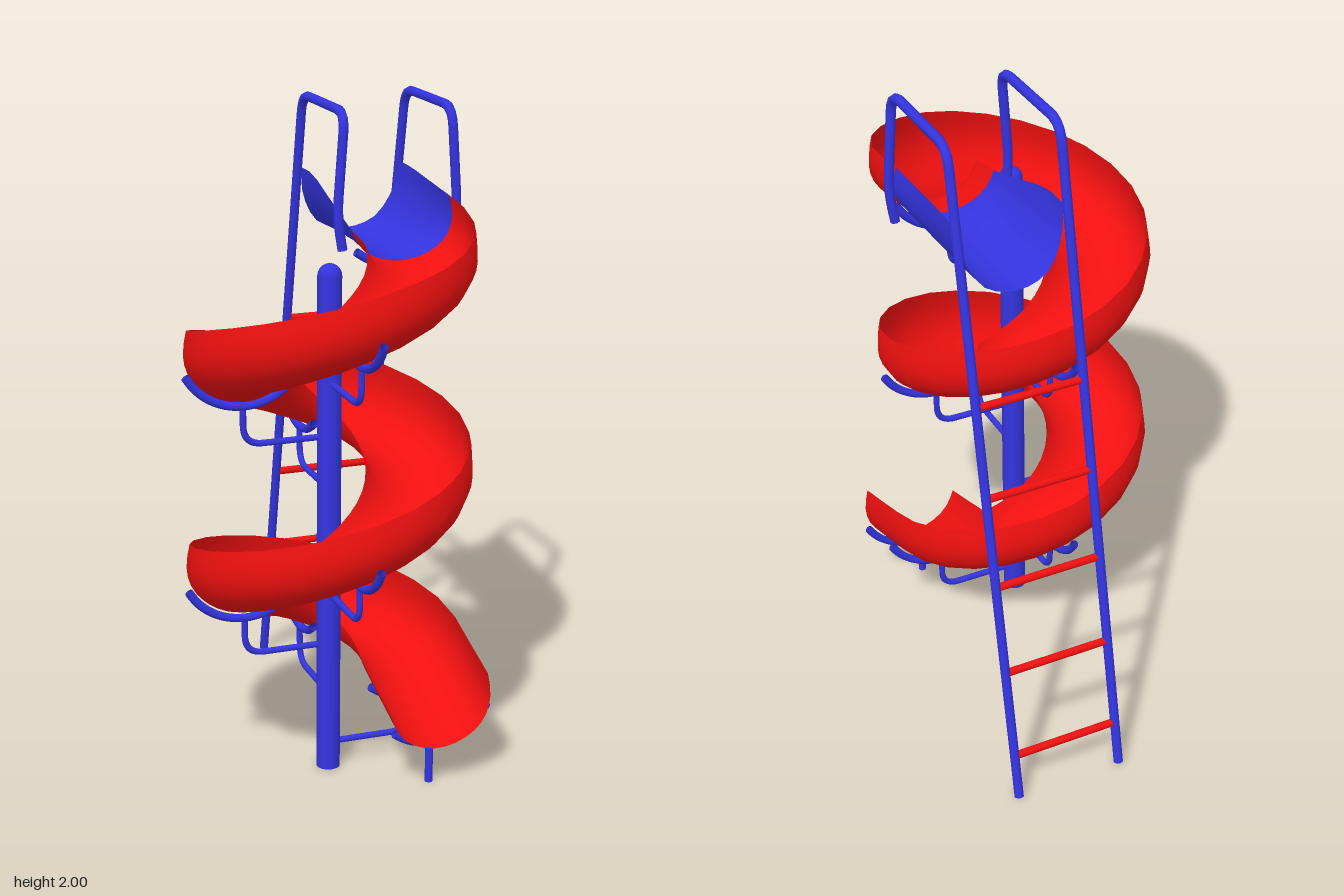
import * as THREE from 'three';

const RED = new THREE.MeshStandardMaterial({ color: 0xf01010, side: THREE.DoubleSide });
const BLUE = new THREE.MeshStandardMaterial({ color: 0x3434e0, side: THREE.DoubleSide });
const V = (x, y, z) => new THREE.Vector3(x, y, z);

const AX = -0.02, AZ = 0.255;          // pole axis
const TOP = 1.525, PITCH = 0.656;      // chute floor height at the start, drop per turn
const SIDES = 24, TURNS = 2;

function add(group, name, geometry, material) {
  const mesh = new THREE.Mesh(geometry, material);
  mesh.name = name;
  group.add(mesh);
  return mesh;
}

// Tube along a polyline whose corners are rounded
function pipe(points, radius, bend = 0.05, segments = 48) {
  const path = new THREE.CurvePath();
  let from = points[0];
  for (let i = 1; i < points.length - 1; i++) {
    const p = points[i];
    const a = p.clone().add(points[i - 1].clone().sub(p).setLength(bend));
    const b = p.clone().add(points[i + 1].clone().sub(p).setLength(bend));
    path.add(new THREE.LineCurve3(from, a));
    path.add(new THREE.QuadraticBezierCurve3(a, p, b));
    from = b;
  }
  path.add(new THREE.LineCurve3(from, points[points.length - 1]));
  return new THREE.TubeGeometry(path, segments, radius, 8);
}

// Cross-sections as (distance from axis, height above floor)
function profile(pairs) {
  return new THREE.SplineCurve(pairs.map(p => new THREE.Vector2(...p))).getPoints(16);
}
const chuteProfile = profile([[0.108, 0.12], [0.125, 0.075], [0.16, 0.034], [0.21, 0.008], [0.262, 0],
  [0.315, 0.008], [0.365, 0.032], [0.4, 0.066], [0.42, 0.11], [0.425, 0.16], [0.415, 0.22]]);
const deckProfile = profile([[0.105, 0.21], [0.11, 0.15], [0.13, 0.09], [0.165, 0.035], [0.215, 0.008],
  [0.268, 0], [0.32, 0.008], [0.37, 0.035], [0.405, 0.09], [0.425, 0.15], [0.43, 0.21]]);

// Point of a station: u outward, h upward
function place(s, u, h) {
  return V(AX + Math.cos(s.a) * u, s.y + h, s.z + Math.sin(s.a) * u);
}
const turn = a => ({ a, y: TOP - PITCH * a / (2 * Math.PI), z: AZ });

// Skin through a row of cross-sections
function loft(rows) {
  const n = rows[0].length, index = [];
  for (let i = 0; i < rows.length - 1; i++)
    for (let j = 0; j < n - 1; j++) {
      const a = i * n + j, b = a + n;
      index.push(a, b, a + 1, b, b + 1, a + 1);
    }
  const geometry = new THREE.BufferGeometry().setFromPoints(rows.flat());
  geometry.setIndex(index);
  geometry.computeVertexNormals();
  return geometry;
}

export function createModel() {
  const model = new THREE.Group();
  model.name = 'spiralSlide';

  // Spiral chute: short lead-in, two turns, straight exit
  const exit = { a: 0, y: 0.13, z: 0.51 };
  const stations = [{ a: 0, y: 1.545, z: 0.145 }];
  for (let i = 0; i <= SIDES * TURNS; i++) stations.push(turn(i / SIDES * 2 * Math.PI));
  stations.push({ a: 0, y: 0.17, z: 0.385 }, exit);
  const rows = stations.map((s, i) => {
    const k = Math.min(1, 0.84 + i * 0.025);
    return chuteProfile.map(p => place(s, p.x, p.y * k));
  });
  add(model, 'spiralChute', loft(rows), RED);

  // Platform trough, blending into the chute, rear edge leaning with the ladder
  const deckRows = [];
  for (let i = 0; i <= 6; i++) {
    const t = i / 6;
    deckRows.push(chuteProfile.map((p, j) => {
      const q = deckProfile[j];
      const u = THREE.MathUtils.lerp(p.x, q.x, t);
      const h = THREE.MathUtils.lerp(p.y * 0.84, q.y, Math.min(1, t * 1.3));
      return V(AX + u, 1.545 + h, 0.145 - 0.49 * t + h * 0.25 * t);
    }));
  }
  add(model, 'platform', loft(deckRows), BLUE);

  // Centre pole with domed top
  const pole = new THREE.Group();
  pole.name = 'centrePole';
  model.add(pole);
  add(pole, 'poleShaft', new THREE.CylinderGeometry(0.036, 0.036, 1.545, 20), BLUE).position.set(AX, 0.7725, AZ);
  add(pole, 'poleCap', new THREE.SphereGeometry(0.036, 20, 8, 0, Math.PI * 2, 0, Math.PI / 2), BLUE)
    .position.set(AX, 1.545, AZ);

  // Collars cradling the chute, with bent arms back to the pole
  const collar = s => {
    const points = [];
    for (let i = 0; i <= 10; i++) {
      const w = -0.68 + 1.74 * i / 10;
      points.push(place(s, 0.262 + 0.2 * Math.sin(w), 0.182 - 0.2 * Math.cos(w)));
    }
    add(model, 'chuteCollar', new THREE.TubeGeometry(new THREE.CatmullRomCurve3(points), 20, 0.013, 8), BLUE);
  };
  const arm = (x, y, z) => add(model, 'supportArm',
    pipe([V(AX, y - 0.135, AZ), V(x, y - 0.135, z), V(x, y - 0.01, z)], 0.01, 0.06), BLUE);
  for (let i = 1; i <= 8; i++) {
    const s = turn(i * Math.PI / 2), p = place(s, 0.265, 0);
    collar(s);
    arm(p.x, p.y, p.z);
  }
  collar({ a: 0, y: 1.545, z: 0.105 });
  arm(0.25, 1.52, 0.105);

  // Exit collar and leg
  collar({ a: 0, y: 0.146, z: 0.46 });
  add(model, 'exitLeg', new THREE.CylinderGeometry(0.012, 0.012, 0.14, 10), BLUE).position.set(0.23, 0.07, 0.46);

  // Ladder posts continuing into handrails
  for (const side of [-1, 1]) {
    const x = 0.247 + side * 0.168;
    add(model, 'ladderPostAndHandrail', pipe([
      V(x, 0.003, -0.675), V(x, 1.986, -0.265), V(x, 1.986, 0.105),
      V(x + side * 0.022, 1.68, 0.105), V(x + side * 0.005, 1.58, 0.105),
    ], 0.015, 0.06, 120), BLUE);
  }

  // Rungs
  for (let i = 0; i < 5; i++) {
    const y = 0.14 + i * 0.2765;
    const rung = add(model, 'rung', new THREE.CylinderGeometry(0.012, 0.012, 0.336, 10), RED);
    rung.rotation.z = Math.PI / 2;
    rung.position.set(0.247, y, -0.675 + y * 0.207);
  }
  return model;
}
